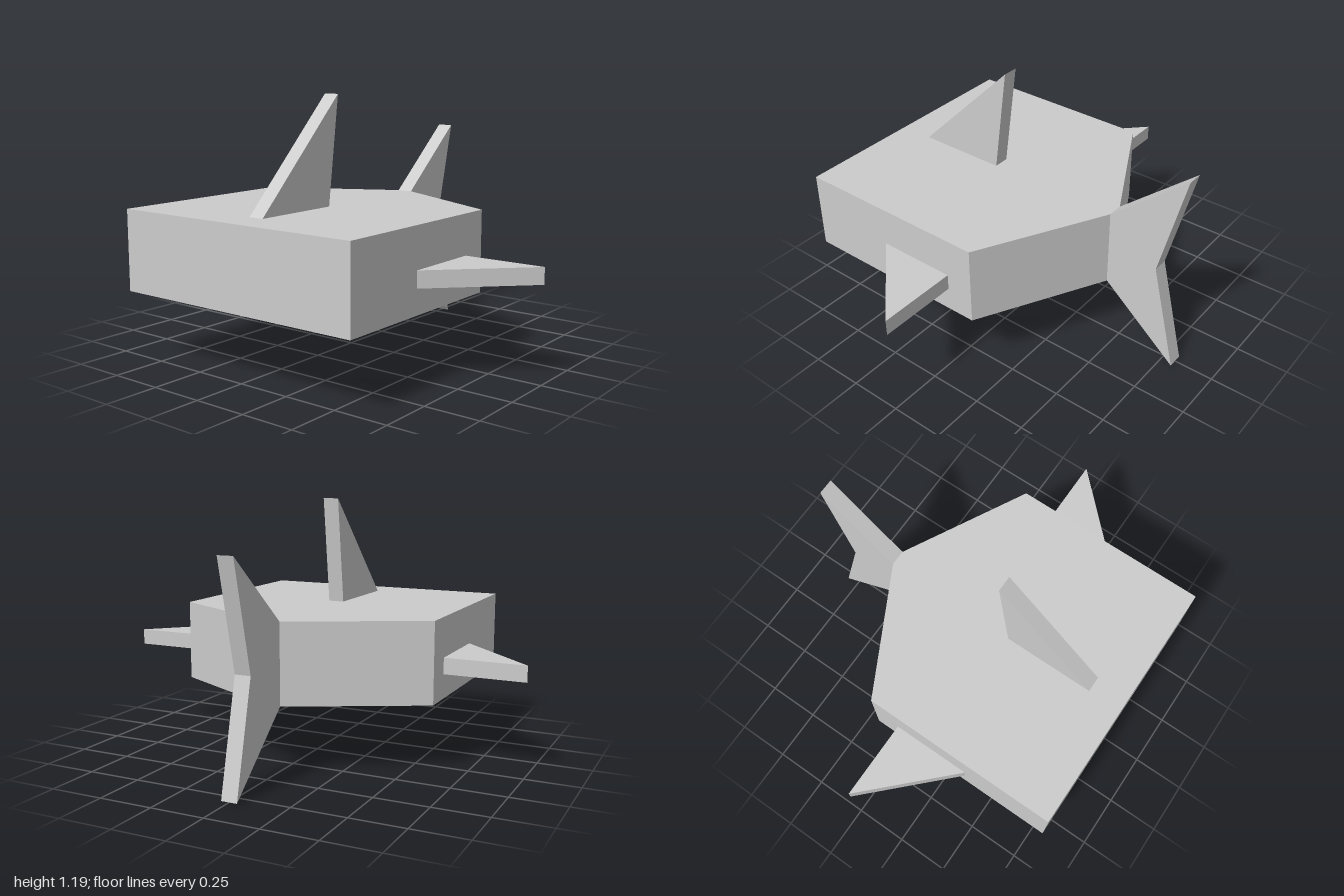
import * as THREE from 'three';

const material = new THREE.MeshStandardMaterial({ color: 0xcccccc, flatShading: true });

function extrude(points, depth) {
  const shape = new THREE.Shape(points.map(([a, b]) => new THREE.Vector2(a, b)));
  return new THREE.ExtrudeGeometry(shape, { depth, bevelEnabled: false });
}

function part(name, geometry) {
  const mesh = new THREE.Mesh(geometry, material);
  mesh.name = name;
  return mesh;
}

// Horizontal slab from an (x, z) outline between two heights
function slab(name, points, bottom, top) {
  return part(name, extrude(points, top - bottom).rotateX(Math.PI / 2).translate(0, top, 0));
}

// Upright plate from a (z, y) outline, centred on x = 0
function plate(name, points, width) {
  return part(name, extrude(points, width).rotateY(-Math.PI / 2).translate(width / 2, 0, 0));
}

export function createModel() {
  const group = new THREE.Group();
  group.name = 'fish';
  const thickness = 0.075, h = thickness / 2;
  const bottom = 0.317, top = 0.69;

  // Body tapering to the tail root
  group.add(slab('body', [
    [-0.625, 0.81], [0.625, 0.81], [0.625, -0.13],
    [h, -0.44], [-h, -0.44], [-0.625, -0.13],
  ], bottom, top));

  // Side fins
  for (const [name, s] of [['leftFin', 1], ['rightFin', -1]]) {
    group.add(slab(name, [[s * 0.625, 0.375], [s, 0], [s * 0.625, 0]], 0.43, 0.505));
  }

  // Back fin
  group.add(plate('backFin', [[0.645, top], [0.145, 1.19], [0.21, top]], thickness));

  // Forked tail
  group.add(plate('tail', [
    [-0.44, top], [-0.81, 1.003], [-0.688, 0.503], [-0.81, 0], [-0.44, bottom],
  ], thickness));

  return group;
}
